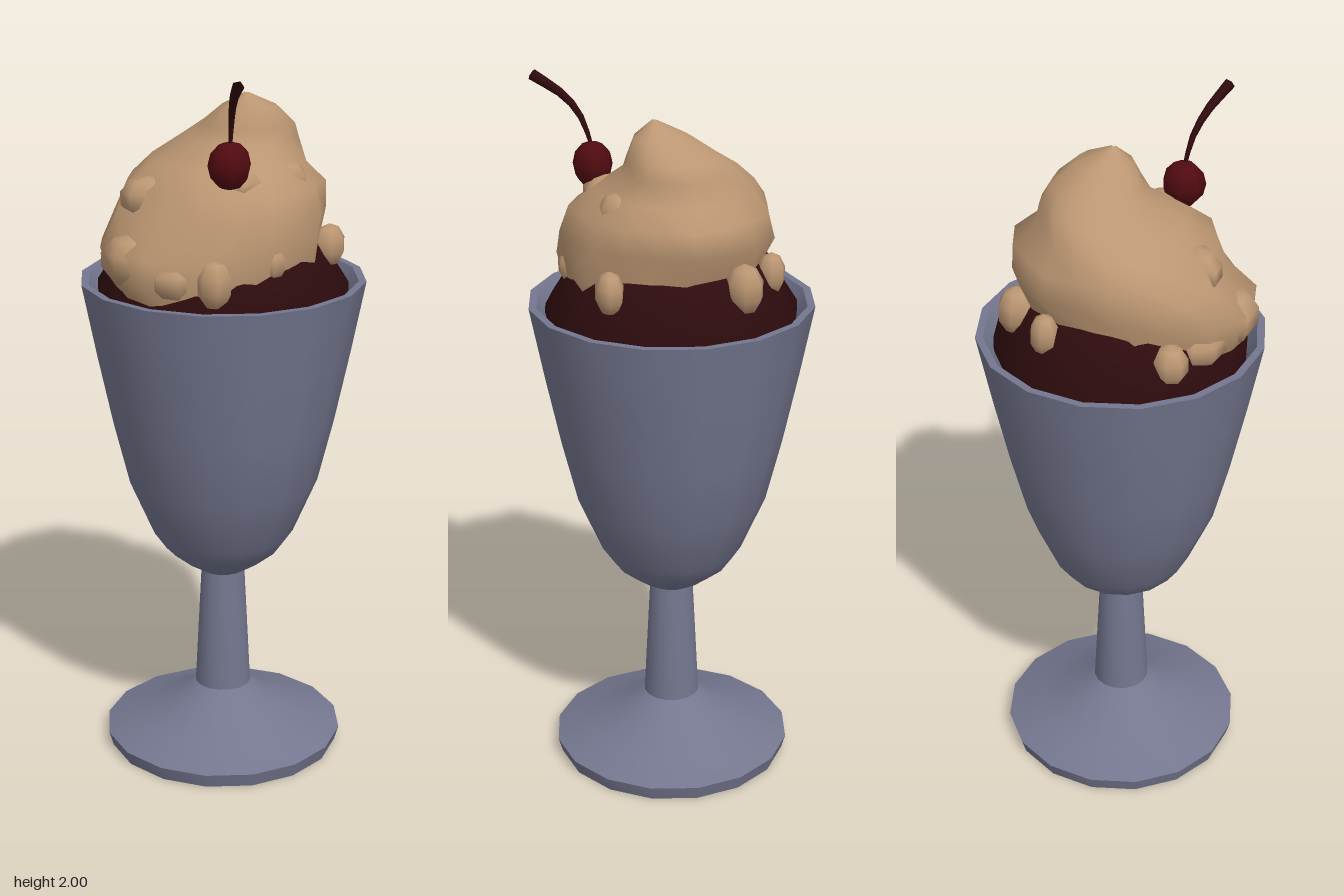
import * as THREE from 'three';
import { toCreasedNormals } from 'three/addons/utils/BufferGeometryUtils.js';

const mat = (name, color, side = THREE.FrontSide) => {
  const m = new THREE.MeshStandardMaterial({ color, side });
  m.name = name;
  return m;
};

const lathe = (points, sides) =>
  new THREE.LatheGeometry(points.map(([r, y]) => new THREE.Vector2(r, y)), sides);

// Smooth skin over elliptical rings [y, cx, cz, rx, rz], with a ripple in the radius
function loft(rings, sides, ripple) {
  const pos = [], index = [];
  rings.forEach(([y, cx, cz, rx, rz], i) => {
    for (let j = 0; j < sides; j++) {
      const a = (j / sides) * Math.PI * 2, k = 1 + ripple(a, y);
      pos.push(cx + Math.sin(a) * rx * k, y, cz + Math.cos(a) * rz * k);
      if (i === rings.length - 1) continue;
      const p = i * sides + j, q = i * sides + (j + 1) % sides;
      index.push(p, q, p + sides, q, q + sides, p + sides);
    }
  });
  const g = new THREE.BufferGeometry();
  g.setAttribute('position', new THREE.Float32BufferAttribute(pos, 3));
  g.setIndex(index);
  g.computeVertexNormals();
  return g;
}

export function createModel() {
  const glass = mat('grey glass', 0x74778f);
  const cream = mat('caramel cream', 0xbb9672);
  const sauce = mat('dark chocolate', 0x2c0b0d);
  const cherryRed = mat('cherry red', 0x500b10);
  const stemBrown = mat('stem brown', 0x310b0e, THREE.DoubleSide);

  const model = new THREE.Group();
  model.name = 'sundae';
  const add = (name, geometry, material, parent = model) => {
    const mesh = new THREE.Mesh(geometry, material);
    mesh.name = name;
    parent.add(mesh);
    return mesh;
  };

  // Footed glass, from the underside up the outside and back down the inner wall
  add('glass', toCreasedNormals(lathe([
    [0, 0.01], [0.33, 0.004], [0.342, 0.045], [0.24, 0.085], [0.13, 0.14], [0.08, 0.18],
    [0.072, 0.34], [0.062, 0.535], [0.11, 0.565], [0.165, 0.61], [0.2, 0.66], [0.268, 0.82],
    [0.312, 1.0], [0.354, 1.2], [0.393, 1.4], [0.372, 1.4], [0.335, 1.34], [0.3, 1.25], [0, 1.25],
  ], 16), 0.75), glass);

  // Chocolate mound inside the rim
  add('chocolate', lathe([
    [0.345, 1.34], [0.343, 1.39], [0.305, 1.45], [0.265, 1.52], [0.15, 1.56], [0, 1.57],
  ], 18), sauce);

  // Whipped cream swirl rising to an off-centre peak
  const swirl = new THREE.Group();
  swirl.name = 'whippedCream';
  model.add(swirl);
  add('creamSwirl', loft([
    [1.36, 0.03, 0.06, 0.23, 0.25], [1.43, 0.02, 0.05, 0.265, 0.29], [1.52, 0.02, 0.05, 0.272, 0.305],
    [1.6, 0, 0, 0.283, 0.283], [1.67, 0, -0.01, 0.265, 0.268], [1.72, -0.01, -0.02, 0.22, 0.2],
    [1.78, -0.01, -0.065, 0.16, 0.145], [1.82, 0.015, -0.07, 0.125, 0.12],
    [1.87, 0.04, -0.055, 0.075, 0.075], [1.91, 0.055, -0.035, 0.004, 0.004],
  ], 18, (a, y) => 0.03 * Math.sin(3 * a + 14 * y) + 0.03 * Math.sin(7 * a - 9 * y)), cream, swirl);

  // Folds and drips: centre, then radii
  [
    [0, 1.49, 0.3, 0.09, 0.075, 0.075], [-0.04, 1.64, 0.215, 0.08, 0.06, 0.06],
    [0.13, 1.46, 0.25, 0.08, 0.06, 0.07], [-0.12, 1.46, 0.25, 0.08, 0.06, 0.06],
    [0.23, 1.46, 0.2, 0.05, 0.07, 0.05], [-0.22, 1.45, 0.19, 0.05, 0.06, 0.05],
    [-0.14, 1.5, -0.245, 0.055, 0.07, 0.05], [0.21, 1.5, -0.2, 0.04, 0.06, 0.05],
    [0.265, 1.5, 0.04, 0.04, 0.05, 0.04], [-0.24, 1.5, -0.14, 0.04, 0.06, 0.04],
    [0.16, 1.68, -0.09, 0.06, 0.06, 0.06], [0.16, 1.69, 0.07, 0.07, 0.05, 0.07],
  ].forEach(([x, y, z, rx, ry, rz], i) => {
    const fold = add('creamFold', new THREE.SphereGeometry(1, 7, 5), cream, swirl);
    fold.position.set(x, y, z);
    fold.scale.set(rx, ry, rz);
    fold.rotation.y = i * 0.9;
  });

  // Cherry
  const cherry = add('cherry', new THREE.SphereGeometry(1, 7, 6), cherryRed);
  cherry.position.set(0.19, 1.755, 0.12);
  cherry.scale.set(0.055, 0.064, 0.06);

  // Curved stem, widening towards its tip
  const path = new THREE.CatmullRomCurve3([
    [0.19, 1.8, 0.12], [0.215, 1.88, 0.135], [0.255, 1.935, 0.16], [0.335, 1.988, 0.205],
  ].map(p => new THREE.Vector3(...p)));
  const steps = 6, sides = 5;
  const stem = new THREE.TubeGeometry(path, steps, 1, sides);
  const p = stem.attributes.position, v = new THREE.Vector3();
  for (let i = 0; i < p.count; i++) {
    const t = Math.floor(i / (sides + 1)) / steps, c = path.getPointAt(t);
    v.fromBufferAttribute(p, i).sub(c).multiplyScalar(0.005 + 0.011 * t).add(c);
    p.setXYZ(i, v.x, v.y, v.z);
  }
  add('cherryStem', stem, stemBrown);

  return model;
}
